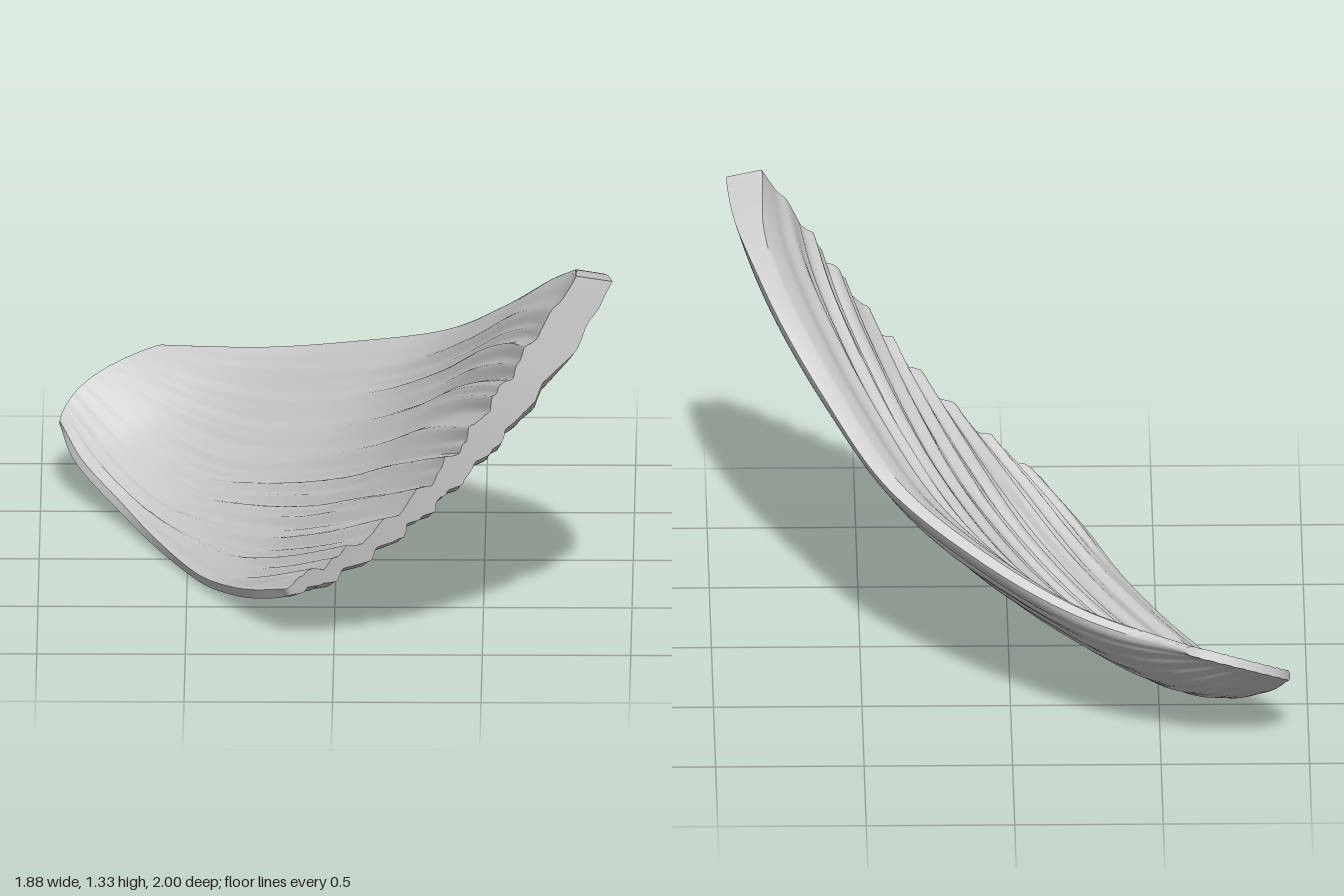
import * as THREE from 'three';
import { toCreasedNormals } from 'three/addons/utils/BufferGeometryUtils.js';

const V = (x, y, z) => new THREE.Vector3(x, y, z);
const step = THREE.MathUtils.smoothstep;

// Long guide curves from the rounded back tip to the wide front end
const inner = new THREE.CatmullRomCurve3([
  V(-0.935, 0.225, -0.77), V(-0.875, 0.15, -0.61), V(-0.73, 0.07, -0.35), V(-0.6, 0.035, -0.05),
  V(-0.45, 0.03, 0.3), V(-0.355, 0.06, 0.5), V(-0.265, 0.11, 0.69), V(-0.15, 0.175, 0.87)]);
const middle = new THREE.CatmullRomCurve3([
  V(-0.825, 0.325, -0.93), V(-0.6, 0.19, -0.74), V(-0.4, 0.15, -0.44), V(-0.15, 0.215, -0.12),
  V(0.08, 0.34, 0.25), V(0.2, 0.44, 0.5), V(0.3, 0.53, 0.745), V(0.4, 0.625, 0.993)]);
const outer = new THREE.CatmullRomCurve3([
  V(-0.58, 0.42, -0.99), V(-0.215, 0.48, -0.8), V(0.085, 0.575, -0.58), V(0.395, 0.72, -0.28),
  V(0.605, 0.92, 0.05), V(0.77, 1.12, 0.36), V(0.86, 1.25, 0.66), V(0.88, 1.325, 0.96)]);

// Point on the middle surface: u runs along the lock, v across it
function sheet(u, v) {
  const a = inner.getPoint(u), m = middle.getPoint(u), b = outer.getPoint(u);
  return a.multiplyScalar((1 - v) * (1 - 2 * v))
    .addScaledVector(m, 4 * v * (1 - v))
    .addScaledVector(b, v * (2 * v - 1));
}

// Thickness direction; it turns sideways at the outer edge to leave a rim on top
function thicknessDirection(u, v) {
  const e = 0.004, u0 = Math.max(0, u - e), u1 = Math.min(1, u + e);
  const along = sheet(u1, v).sub(sheet(u0, v));
  const across = sheet(u, v + e).sub(sheet(u, v - e));
  const normal = along.cross(across).normalize();
  return normal.lerp(V(-0.98, 0.12, 0.1), step(v, 0.8, 1) * step(u, 0.05, 0.5) * 0.85).normalize();
}

// Lopsided wave: a slow rise and a quicker fall, like overlapping strands
function strandWave(t) {
  const f = t - Math.floor(t);
  return (f < 0.7 ? f / 0.7 : (1 - f) / 0.3) - 0.5;
}

// Broad strands that fan out from the smooth back tip, swelling and fading
function strands(u, v, side) {
  const s = side * 1.7;
  const d = v - 0.1 * u + 0.03 * Math.sin(3 * u + 5 * v + s);
  const coarse = strandWave(d * 9 + s) * (0.8 + 0.2 * Math.sin(5 * u + 6 * v + s));
  const fine = strandWave(d * 21 + s) * (0.5 + 0.5 * Math.sin(7 * u + 11 * v + s));
  const rim = step(v, 0, 0.08) * (1 - step(v, 0.91, 0.97));
  return (0.03 * coarse + 0.014 * fine) * rim * (0.1 + 0.9 * step(u, 0.05, 0.7));
}

// Half thickness: slim at the tip and inner edge, heavy at the outer front,
// with a rounded outer edge and the underside bevelled towards the front end
function halfThickness(u, v, top) {
  const body = THREE.MathUtils.lerp(0.028, 0.034 + 0.028 * v, step(u, 0, 0.8));
  const swell = 0.016 * step(u, 0.4, 0.9) * step(v, 0.45, 0.75) * (1 - step(v, 0.85, 1));
  const border = 0.5 + 0.5 * step(v, 0, 0.06);
  const tip = 0.6 + 0.4 * step(u, 0, 0.1);
  const round = 1 - 0.5 * Math.max(0, (v - 0.95) / 0.05) ** 2 * (1 - step(u, 0.75, 1));
  const bevel = top ? 1 : 1 - 0.4 * step(u, 0.95, 1) * (1 - step(v, 0.75, 0.95));
  return (body + swell) * border * tip * round * bevel;
}

function lockGeometry() {
  const rows = 80, cols = 140, ring = 2 * (cols + 1);
  const pos = [], index = [];
  for (let i = 0; i <= rows; i++) {
    const u = i / rows;
    for (let j = 0; j < ring; j++) {
      const top = j <= cols;
      const v = (top ? j : ring - 1 - j) / cols;
      const h = halfThickness(u, v, top) + strands(u, v, top ? 0 : 1);
      const p = sheet(u, v).addScaledVector(thicknessDirection(u, v), top ? h : -h);
      pos.push(p.x, p.y, p.z);
    }
  }
  const quad = (a, b, c, d) => index.push(a, b, c, a, c, d);
  for (let i = 0; i < rows; i++) {
    for (let j = 0; j < ring; j++) {
      const k = (j + 1) % ring, r = i * ring, s = r + ring;
      quad(r + j, s + j, s + k, r + k);
    }
  }
  // End faces at the tip and the front
  const last = rows * ring;
  for (let j = 0; j < cols; j++) {
    const b = ring - 1 - j;
    quad(last + j, last + b, last + b - 1, last + j + 1);
    quad(j, j + 1, b - 1, b);
  }
  const geo = new THREE.BufferGeometry();
  geo.setAttribute('position', new THREE.Float32BufferAttribute(pos, 3));
  geo.setIndex(index);

  // Centre it and rest it on the ground
  geo.computeBoundingBox();
  const mid = geo.boundingBox.getCenter(V(0, 0, 0));
  geo.translate(-mid.x, -geo.boundingBox.min.y, -mid.z);
  return toCreasedNormals(geo, 0.8);
}

export function createModel() {
  const group = new THREE.Group();
  group.name = 'curvedLock';
  const lock = new THREE.Mesh(lockGeometry(), new THREE.MeshStandardMaterial({ color: 0xcccccc }));
  lock.name = 'groovedShell';
  group.add(lock);
  return group;
}
